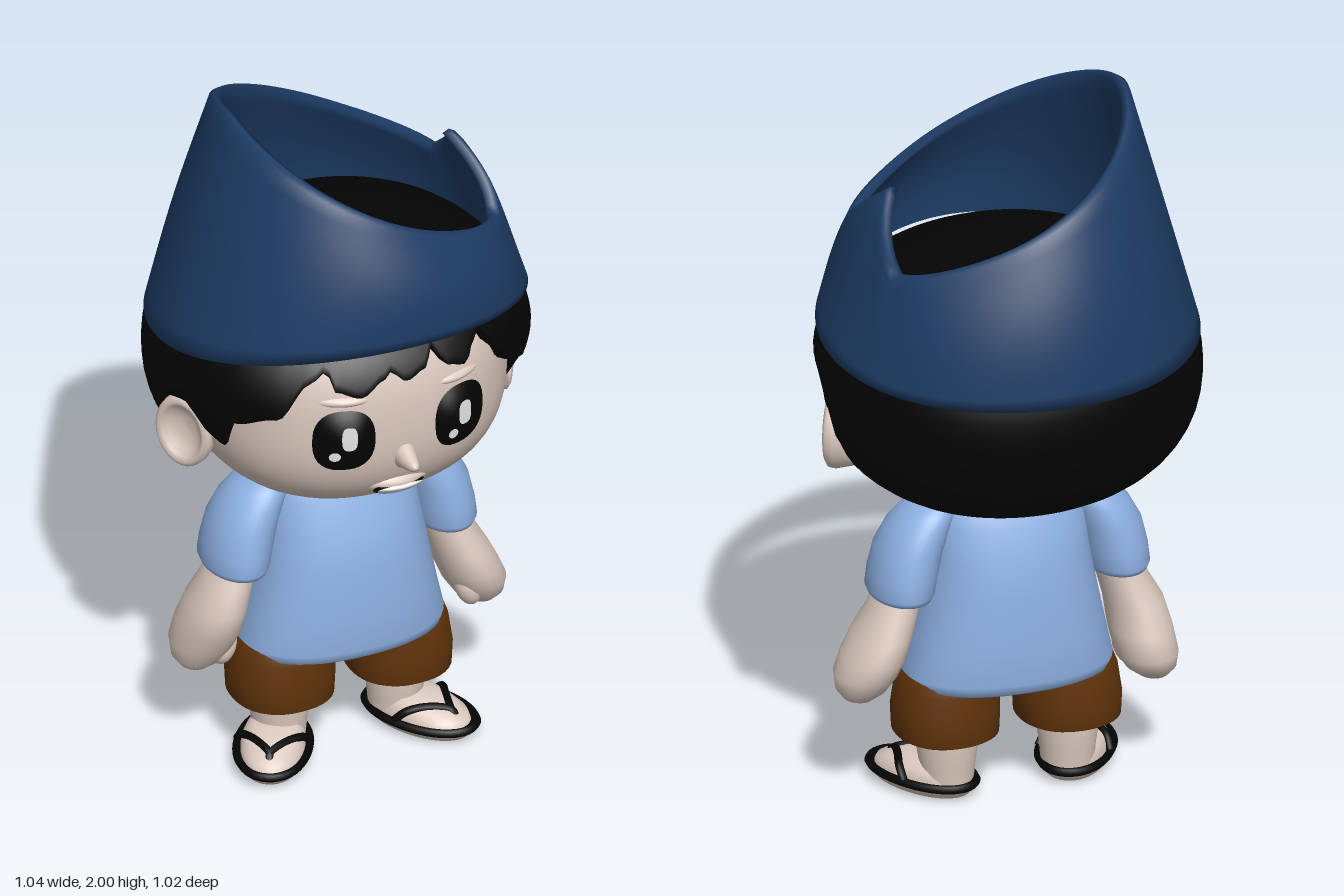
import * as THREE from 'three';

const mat = (name, color, side = THREE.FrontSide) => {
  const m = new THREE.MeshStandardMaterial({ color, side });
  m.name = name;
  return m;
};
const skin = mat('skin', 0xdccabf);
const black = mat('black', 0x040404, THREE.DoubleSide);
const navy = mat('navy', 0x1d3c65, THREE.DoubleSide);
const blue = mat('light blue', 0x8db0e2);
const brown = mat('brown', 0x60330a);
const white = mat('white', 0xf2f0ee);

const add = (parent, name, geometry, material) => {
  const m = new THREE.Mesh(geometry, material);
  m.name = name;
  parent.add(m);
  return m;
};

// Smooth surface of closed rings: point(ring, angle) gives [x, y, z]
function rings(count, n, point) {
  const pos = [], idx = [];
  for (let i = 0; i < count; i++)
    for (let j = 0; j < n; j++) pos.push(...point(i, (j / n) * Math.PI * 2));
  for (let i = 0; i < count - 1; i++)
    for (let j = 0; j < n; j++) {
      const k = (j + 1) % n, a = i * n + j, b = i * n + k, c = a + n, d = b + n;
      idx.push(a, c, b, b, c, d);
    }
  const g = new THREE.BufferGeometry();
  g.setAttribute('position', new THREE.Float32BufferAttribute(pos, 3));
  g.setIndex(idx);
  g.computeVertexNormals();
  return g;
}

// Stacked oval sections [y, cx, cz, rx, rz], bottom to top; p squares them off
const oval = (a, p) => (Math.abs(Math.cos(a)) ** p + Math.abs(Math.sin(a)) ** p) ** (-1 / p);
const loft = (s, p = 2, n = 40) => rings(s.length, n, (i, a) => {
  const [y, cx, cz, rx, rz] = s[i], r = oval(a, p);
  return [cx + rx * r * Math.cos(a), y, cz + rz * r * Math.sin(a)];
});

// Rounded head-like volume
const HEAD = { cy: 1.2, up: 0.34, down: 0.347, rx: 0.435, front: 0.44, back: 0.31, p: 2.65, q: 2.3 };
const HAIR = { cy: 1.22, up: 0.36, down: 0.375, rx: 0.515, front: 0.49, back: 0.49, p: 2.25, q: 2.1 };
const level = (d, k) => Math.max(0, 1 - Math.abs(k) ** d.p) ** (1 / d.p);
function volume(d, k, a, scale = 1) {
  const f = level(d, k) * oval(a, d.q) * scale, s = Math.sin(a);
  return [d.rx * f * Math.cos(a), d.cy + k * (k > 0 ? d.up : d.down), (s > 0 ? d.front : d.back) * f * s];
}
function faceZ(x, y) {
  const k = (y - HEAD.cy) / (y > HEAD.cy ? HEAD.up : HEAD.down), f = level(HEAD, k);
  return HEAD.front * f * (1 - (Math.abs(x) / (HEAD.rx * f)) ** HEAD.q) ** (1 / HEAD.q);
}
// Oval patch that hugs the face, with separate upper and lower heights
const patch = (cx, cy, rx, up, down, lift, dome = 0, p = 2) => rings(7, 36, (i, a) => {
  const t = i / 6, r = t * oval(a, p), s = Math.sin(a);
  const x = cx + rx * r * Math.cos(a), y = cy + (s > 0 ? up : down) * r * s;
  return [x, y, faceZ(x, y) + lift + dome * (1 - t * t)];
});

// Hair edge height by degrees from the front towards +x
const EDGE = [[-180, 0.9], [-104, 0.91], [-99, 0.96], [-94, 1.17], [-78, 1.19], [-73, 1.1], [-66, 1.08], [-58, 1.2],
  [-42, 1.25], [-32, 1.36], [-27, 1.39], [-24, 1.34], [-16, 1.32], [-8, 1.36], [-6, 1.375], [-1, 1.345], [6, 1.365],
  [10, 1.41], [14, 1.355], [20, 1.34], [26, 1.38], [30, 1.4], [36, 1.33], [42, 1.26], [58, 1.2], [66, 1.08], [73, 1.1],
  [78, 1.19], [94, 1.17], [99, 0.96], [104, 0.91], [180, 0.9]];
function hairEdge(a) {
  let d = 90 - (a * 180) / Math.PI;
  if (d < -180) d += 360;
  const i = Math.max(1, EDGE.findIndex((e) => e[0] >= d)), [d0, y0] = EDGE[i - 1], [d1, y1] = EDGE[i];
  return y0 + (y1 - y0) * THREE.MathUtils.smoothstep(d, d0, d1);
}
// The sideburns hug the face; the underside closes towards the neck at the back
const hair = () => rings(26, 180, (i, a) => {
  const y = hairEdge(a), k0 = (y - HAIR.cy) / (y > HAIR.cy ? HAIR.up : HAIR.down);
  const frontness = THREE.MathUtils.smoothstep(Math.sin(a), -0.1, 0.25);
  const hug = (k) => 1 - 0.1 * frontness * THREE.MathUtils.smoothstep(-k, -0.2, 0.35);
  if (i === 0) return volume(HAIR, k0, a, 0.5 + 0.3 * frontness);
  if (i === 1) return volume(HAIR, k0, a, 0.985 * hug(k0));
  const t = (i - 2) / 23, l0 = Math.asin(k0) + 0.02, k = Math.sin(l0 + (Math.PI / 2 - l0) * t);
  return volume(HAIR, k, a, hug(k));
});

// Open slanted cap with a pointed tab on its low side
function hat() {
  const M = 12;
  return rings(2 * M + 4, 144, (i, a) => {
    const c = Math.cos(a), s = Math.sin(a);
    let t, inset, lift = 0;
    if (i === 0) { t = 0; inset = 0.035; }
    else if (i <= M + 1) { t = (i - 1) / M; inset = 0; }
    else if (i === M + 2) { t = 1; inset = 0.016; lift = 0.01; }
    else { t = 1 - (i - M - 3) / M; inset = 0.034; }
    const yb = 1.34 + 0.0725 * s + 0.0425 * s * s, zt = 0.39 * s;
    const xt = 0.035 + 0.365 * (c + (c > 0 ? 1.1 * c ** 4 * (1 - c) : 0));
    const slope = Math.max(0, (xt + 0.33) / 0.73);
    const tab = c > 0 ? Math.max(0, 1 - Math.abs(zt) / 0.195) : 0;
    const yt = 1.99 - 0.39 * slope ** 0.72 + 0.17 * tab ** 0.9;
    const bulge = (0.028 * (1 - c * c) - 0.01 * tab) * Math.sin(Math.PI * t) - inset;
    const mix = THREE.MathUtils.lerp;
    return [
      mix(0.51 * c, xt, t) - 0.06 * tab * tab * t ** 5 + bulge * c,
      mix(yb, yt, t) + lift,
      mix((s > 0 ? 0.475 : 0.51) * s, zt, t) + bulge * s,
    ];
  });
}

const tube = (pts, r) =>
  new THREE.TubeGeometry(new THREE.CatmullRomCurve3(pts.map((p) => new THREE.Vector3(...p))), 24, r, 8);

function makeHead() {
  const g = new THREE.Group();
  g.name = 'head';
  add(g, 'face', rings(33, 64, (i, a) => volume(HEAD, Math.sin((i / 32 - 0.5) * Math.PI), a)), skin);
  add(g, 'hair', hair(), black);
  add(g, 'hat', hat(), navy);
  // Small pointed nose
  const nose = add(g, 'nose', loft([[-0.03, 0, 0, 0.034, 0.05], [0, 0, -0.004, 0.029, 0.038], [0.03, 0, 0, 0.022, 0.025],
    [0.055, 0, 0, 0.015, 0.016], [0.066, 0, 0, 0.008, 0.008], [0.07, 0, 0, 0, 0]], 2, 24), skin);
  nose.rotation.x = Math.PI / 2;
  nose.position.set(0, 1.092, 0.436);
  // Smiling mouth
  add(g, 'lips', patch(0, 0.985, 0.09, 0.033, 0.062, -0.005, 0.03), skin);
  add(g, 'mouthOpening', patch(0, 0.985, 0.073, 0.017, 0.043, 0.008, 0.02), black);
  add(g, 'teeth', patch(0, 0.984, 0.066, 0.011, 0.035, 0.02, 0.014), white);
  for (const s of [-1, 1]) {
    // Eyes with two highlights each
    const x = 0.167 * s;
    add(g, 'eye', patch(x, 1.172, 0.08, 0.094, 0.094, 0, 0.03, 2.5), black);
    add(g, 'eyeHighlight', patch(x, 1.196, 0.02, 0.036, 0.036, 0.031, 0, 3), white);
    add(g, 'eyeSparkle', patch(x - 0.036, 1.14, 0.015, 0.014, 0.014, 0.028), white);
    add(g, 'eyebrow', patch(x, 1.29, 0.065, 0.014, 0.014, -0.002, 0.012), skin);
    // Dished ear
    const side = new THREE.Group();
    side.scale.x = s;
    side.name = 'earSide';
    g.add(side);
    const profile = [[0, -0.09], [0.05, -0.08], [0.072, -0.035], [0.081, 0.01], [0.079, 0.03], [0.069, 0.038],
      [0.058, 0.032], [0.047, 0.016], [0.025, 0.006], [0, 0.004]].map((p) => new THREE.Vector2(...p));
    const ear = add(side, 'ear', new THREE.LatheGeometry(profile, 32), skin);
    ear.scale.set(1.33, 1, 1.05);
    ear.rotation.set(0, -0.55, -Math.PI / 2);
    ear.position.set(0.448, 1.075, 0.036);
  }
  return g;
}

// One arm, leg and sandal, modelled on +x
function makeSide(s) {
  const g = new THREE.Group();
  g.name = s > 0 ? 'leftLimbs' : 'rightLimbs';
  g.scale.x = s;
  add(g, 'sleeve', loft([[0.61, 0.3, 0, 0, 0], [0.6, 0.3, 0, 0.07, 0.105], [0.6, 0.3, 0, 0.082, 0.122],
    [0.615, 0.3, 0, 0.088, 0.13], [0.66, 0.293, 0, 0.09, 0.127], [0.73, 0.277, 0, 0.09, 0.118],
    [0.79, 0.25, 0, 0.085, 0.105], [0.835, 0.22, 0, 0.075, 0.085], [0.865, 0.19, 0, 0.055, 0.055], [0.875, 0.17, 0, 0, 0]]), blue);
  // The right hand hangs slightly lower and further back
  const low = s < 0 ? 0.03 : 0, dx = s < 0 ? -0.025 : 0, dz = s < 0 ? -0.05 : 0;
  add(g, 'arm', loft([[0.303 - low, 0.415 + dx, dz, 0, 0], [0.309 - low, 0.415 + dx, dz, 0.04, 0.045],
    [0.335 - low, 0.408 + dx, dz, 0.067, 0.075], [0.38 - low, 0.395 + dx, dz, 0.084, 0.102],
    [0.43 - low / 2, 0.374 + dx / 2, dz / 2, 0.084, 0.114], [0.49, 0.35, 0, 0.078, 0.11],
    [0.56, 0.32, 0, 0.068, 0.088], [0.66, 0.29, 0, 0.06, 0.07]]), skin);
  const thumb = add(g, 'thumb', new THREE.SphereGeometry(0.045, 20, 14), skin);
  thumb.scale.set(0.75, 1.25, 0.9);
  thumb.rotation.z = 0.3;
  thumb.position.set(0.355 + dx, 0.375 - low, 0.05 + dz);
  add(g, 'shortsLeg', loft([[0.19, 0.17, 0.01, 0.075, 0.075], [0.174, 0.17, 0.01, 0.1, 0.1], [0.172, 0.17, 0.01, 0.125, 0.132],
    [0.18, 0.17, 0.01, 0.139, 0.143], [0.24, 0.17, 0.01, 0.142, 0.145], [0.32, 0.165, 0.01, 0.135, 0.14],
    [0.4, 0.15, 0.01, 0.12, 0.13], [0.41, 0.15, 0.01, 0, 0]], 2.3), brown);
  add(g, 'leg', loft([[0.03, 0.168, 0, 0.07, 0.075], [0.09, 0.168, 0, 0.075, 0.08], [0.14, 0.168, 0, 0.082, 0.088],
    [0.23, 0.168, 0, 0.085, 0.09]]), skin);
  // Foot and sandal, turned outward
  const foot = new THREE.Group();
  foot.name = 'foot';
  foot.position.set(0.214, 0, 0.064);
  foot.rotation.y = 0.52;
  g.add(foot);
  add(foot, 'sole', loft([[0, 0, 0, 0, 0], [0, 0, 0, 0.066, 0.13], [0.006, 0, 0, 0.082, 0.148],
    [0.032, 0, 0, 0.098, 0.166]], 2.1), skin);
  add(foot, 'sandalRim', loft([[0.026, 0, 0, 0.085, 0.152], [0.028, 0, 0, 0.102, 0.172], [0.037, 0, 0, 0.107, 0.178],
    [0.047, 0, 0, 0.102, 0.172], [0.049, 0, 0, 0.092, 0.161], [0.04, 0, 0, 0.085, 0.152], [0.04, 0, 0, 0, 0]], 2.1), black);
  add(foot, 'toes', loft([[0.035, 0, 0, 0.086, 0.152], [0.055, 0, -0.004, 0.085, 0.145], [0.074, 0, -0.02, 0.075, 0.118],
    [0.092, -0.005, -0.04, 0.058, 0.085], [0.102, -0.01, -0.05, 0, 0]], 2.1), skin);
  for (const k of [-1, 1])
    add(foot, 'strap', tube([[0.097 * k, 0.042, -0.02], [0.08 * k, 0.074, 0.012], [0.037 * k, 0.082, 0.055],
      [0, 0.07, 0.1], [0, 0.047, 0.12]], 0.011), black);
  return g;
}

export function createModel() {
  const model = new THREE.Group();
  model.name = 'boy';
  model.add(makeHead());
  // Shirt body and neck
  add(model, 'shirt', loft([[0.345, 0, 0.01, 0, 0], [0.335, 0, 0.01, 0.2, 0.13], [0.325, 0, 0.01, 0.265, 0.172],
    [0.335, 0, 0.01, 0.285, 0.186], [0.36, 0, 0.01, 0.286, 0.194], [0.45, 0, 0.01, 0.265, 0.194],
    [0.6, 0, 0.01, 0.235, 0.186], [0.7, 0, 0.005, 0.218, 0.165], [0.79, 0, 0, 0.21, 0.135],
    [0.84, 0, 0, 0.19, 0.11], [0.865, 0, 0, 0.16, 0.095], [0.875, 0, 0, 0.12, 0.08], [0.87, 0, 0, 0, 0]], 2.3, 56), blue);
  const neck = add(model, 'neck', new THREE.SphereGeometry(0.1, 32, 16), skin);
  neck.scale.set(1, 0.36, 0.92);
  neck.position.set(0, 0.864, 0.028);
  for (const s of [-1, 1]) model.add(makeSide(s));
  return model;
}
